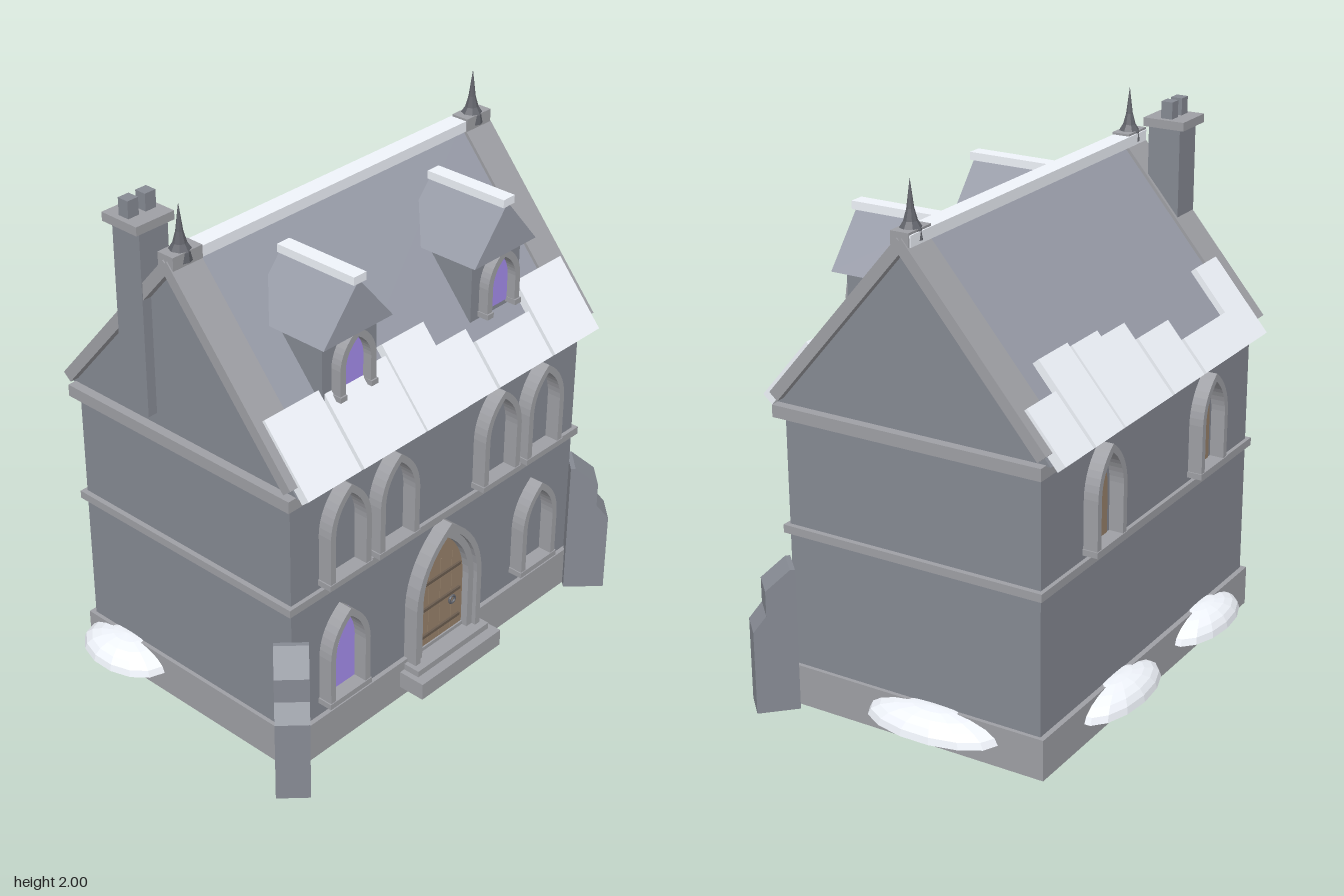
import * as THREE from 'three';

const mat = (color) => new THREE.MeshStandardMaterial({ color, flatShading: true, side: THREE.DoubleSide });

export function createModel() {
  const house = new THREE.Group();
  house.name = 'house';
  const stone = mat(0x868a93), trim = mat(0x9fa0a5), slate = mat(0x989ca8), iron = mat(0x62646b);
  const snow = mat(0xf0f4fb), glass = mat(0xa48cec), wood = mat(0x97816a), darkWood = mat(0x6b5d50);
  const CZ = -0.015; // depth of the ridge line
  const FRONT = 0.49, BACK = -0.52;

  const add = (name, geo, m = stone, parent = house) => {
    const mesh = new THREE.Mesh(geo, m);
    mesh.name = name;
    parent.add(mesh);
    return mesh;
  };
  // Box given by its min and max on each axis
  const box = (name, x0, x1, y0, y1, z0, z1, m, parent) => {
    const mesh = add(name, new THREE.BoxGeometry(x1 - x0, y1 - y0, z1 - z0), m, parent);
    mesh.position.set((x0 + x1) / 2, (y0 + y1) / 2, (z0 + z1) / 2);
    return mesh;
  };
  const extrude = (pts, depth) => new THREE.ExtrudeGeometry(
    new THREE.Shape(pts.map((p) => new THREE.Vector2(...p))), { depth, bevelEnabled: false });
  // Pointed arch outline, from bottom right over the apex to bottom left
  const archPoints = (w, y0, spring, apex) => {
    const c = new THREE.QuadraticBezierCurve(
      new THREE.Vector2(w, spring), new THREE.Vector2(w * 0.95, spring + (apex - spring) * 0.62),
      new THREE.Vector2(0, apex)).getPoints(8).map((p) => [p.x, p.y]);
    const right = [[w, y0], ...c];
    return [...right, ...right.slice(0, -1).reverse().map(([x, y]) => [-x, y])];
  };
  const archFrame = (w, t, y0, spring, apex, depth) => extrude(
    [...archPoints(w, y0, spring, apex), ...archPoints(w - t, y0, spring, apex - t * 1.25).reverse()], depth);

  // Walls, plinth and string courses
  box('walls', -0.755, 0.755, 0.1, 1.12, BACK, FRONT);
  box('plinth', -0.77, 0.77, 0, 0.155, -0.54, 0.508, trim);
  box('lowerBand', -0.775, 0.775, 0.667, 0.697, -0.535, 0.505, trim);
  box('upperBand', -0.79, 0.79, 1.1, 1.145, -0.54, 0.52, trim);

  // Gabled attic
  const gable = add('gable', extrude([[-0.54, 1.14], [0.54, 1.14], [0, 1.785]], 1.51));
  gable.rotation.y = Math.PI / 2;
  gable.position.set(-0.755, 0, CZ);

  // Roof slopes: local z runs down the slope, local y points outward
  const pitch = Math.atan(1.176), cos = Math.cos(pitch);
  const slope = (name, turn) => {
    const side = new THREE.Group();
    side.name = name;
    side.rotation.set(pitch, turn, 0, 'YXZ');
    side.position.set(0, 1.81, CZ);
    house.add(side);
    box('roofSlab', -0.66, 0.66, -0.03, 0, 0, 0.825, slate, side);
    for (const s of [-1, 1]) {
      const x = s * 0.7225;
      box('gableCoping', x - 0.0675, x + 0.0675, -0.03, 0.012, 0, 0.825, trim, side);
    }
    return side;
  };
  // Snow slabs: left edge, right edge, depth (horizontal, from the ridge) of the upper end
  const snowRow = (side, eave, list) => list.forEach(([x0, x1, top], i) =>
    box('snowSlab', x0, x1, -0.014, 0.024 + (i % 3) * 0.005, top / cos, eave / cos - 0.025, snow, side));
  snowRow(slope('frontSlope', 0), 0.588, [
    [-0.755, -0.505, 0.38], [-0.495, -0.19, 0.385], [-0.185, 0.025, 0.36],
    [0.03, 0.19, 0.42], [0.2, 0.49, 0.455], [0.5, 0.755, 0.38]]);
  snowRow(slope('backSlope', Math.PI), 0.59, [
    [-0.75, -0.57, 0.43], [-0.56, -0.375, 0.355], [-0.37, -0.2, 0.365], [-0.2, -0.025, 0.38],
    [-0.015, 0.205, 0.425], [0.215, 0.55, 0.48], [0.555, 0.72, 0.355]]);
  box('ridgeSnow', -0.78, 0.78, 1.79, 1.83, -0.055, 0.015, snow);

  // Finials
  for (const s of [-1, 1]) {
    box('finialBase', s * 0.72 - 0.065, s * 0.72 + 0.065, 1.79, 1.838, -0.05, 0.02, trim);
    const profile = [[0, 1.8], [0.044, 1.8], [0.04, 1.835], [0.024, 1.86], [0.013, 1.9], [0, 2]];
    const f = add('finial', new THREE.LatheGeometry(profile.map((p) => new THREE.Vector2(...p)), 8), iron);
    f.position.set(s * 0.72, 0, CZ);
  }

  // Chimney
  box('chimneyShaft', -0.793, -0.668, 1.19, 1.88, -0.252, -0.125);
  box('chimneyCap', -0.815, -0.65, 1.88, 1.912, -0.275, -0.112, trim);
  for (const x of [-0.77, -0.695]) box('chimneyPot', x - 0.023, x + 0.023, 1.91, 1.975, -0.217, -0.172);

  // Dormers
  for (const x of [-0.375, 0.372]) {
    const d = new THREE.Group();
    d.name = 'dormer';
    d.position.x = x;
    house.add(d);
    box('dormerBody', -0.13, 0.13, 1.325, 1.57, 0.12, 0.4, stone, d);
    add('dormerRoof', extrude([[-0.165, 1.56], [0.165, 1.56], [0, 1.755]], 0.34), slate, d).position.z = 0.1;
    box('dormerRidgeSnow', -0.029, 0.029, 1.745, 1.775, 0.105, 0.445, snow, d);
    add('dormerFrame', archFrame(0.087, 0.026, 1.345, 1.45, 1.58, 0.045), trim, d).position.z = 0.395;
    for (const s of [-1, 1])
      box('frameFoot', s * 0.075 - 0.016, s * 0.075 + 0.016, 1.335, 1.355, 0.395, 0.446, trim, d);
    add('dormerGlass', extrude(archPoints(0.063, 1.345, 1.45, 1.55), 0.01), glass, d).position.z = 0.395;
  }

  // Arched wall windows, built around x = 0 with the sill at y = 0
  const windowAt = (x, y, z, turn, pane) => {
    const w = new THREE.Group();
    w.name = 'window';
    w.position.set(x, y, z);
    w.rotation.y = turn;
    house.add(w);
    add('windowFrame', archFrame(0.1, 0.025, 0.01, 0.205, 0.378, 0.055), trim, w);
    box('windowSill', -0.105, 0.105, 0, 0.022, 0, 0.058, trim, w);
    if (pane) add('windowPane', extrude(pane[0], 0.003), pane[1], w);
  };
  for (const x of [-0.52, -0.275, 0.275, 0.52]) windowAt(x, 0.715, FRONT, 0);
  windowAt(-0.52, 0.21, FRONT, 0, [[[-0.075, 0.02], [0.075, 0.02], [0.075, 0.25], [0.045, 0.34]], glass]);
  windowAt(0.52, 0.21, FRONT, 0, [[[-0.075, 0.02], [-0.045, 0.02], [-0.075, 0.05]], glass]);
  for (const x of [-0.38, 0.38])
    windowAt(x, 0.715, BACK, Math.PI, [archPoints(0.056, 0.02, 0.2, 0.315), wood]);

  // Door with stepped surround, straps and ring
  add('doorHood', archFrame(0.178, 0.025, 0.13, 0.38, 0.672, 0.057), trim).position.z = FRONT;
  add('doorFrame', archFrame(0.154, 0.03, 0.13, 0.38, 0.642, 0.04), trim).position.z = FRONT;
  add('door', extrude(archPoints(0.125, 0.155, 0.38, 0.602), 0.012), wood).position.z = FRONT;
  for (const y of [0.2, 0.32, 0.43]) box('doorStrap', -0.105, 0.105, y - 0.006, y + 0.006, 0.5, 0.51, darkWood);
  for (const x of [-0.062, 0, 0.062]) box('boardSeam', x - 0.002, x + 0.002, 0.16, 0.5, 0.5, 0.504, wood);
  add('doorRing', new THREE.TorusGeometry(0.015, 0.005, 6, 12), iron).position.set(0.06, 0.29, 0.51);
  box('lowerStep', -0.218, 0.218, 0.048, 0.115, 0.45, 0.615, trim);
  box('upperStep', -0.196, 0.196, 0.11, 0.14, 0.45, 0.575, trim);

  // Diagonal corner buttresses
  const stepProfile = [[0, 0], [0.155, 0], [0.155, 0.32], [0.107, 0.38], [0.107, 0.475], [0.018, 0.548], [0, 0.548]];
  for (const s of [-1, 1]) {
    const geo = extrude(stepProfile, 0.12);
    geo.translate(0, 0, -0.06);
    const b = add('buttress', geo);
    b.rotation.y = s > 0 ? -Math.PI / 4 : -Math.PI * 3 / 4;
    b.position.set(s * 0.756, 0, 0.488);
  }

  // Snow drifts against the plinth: x, z, radii
  const dome = [[0, 0], [1, 0], [0.95, 0.31], [0.81, 0.59], [0.59, 0.81], [0.31, 0.95], [0, 1]];
  for (const [x, z, rx, rz] of [
    [0.77, -0.1, 0.122, 0.262], [-0.77, -0.335, 0.13, 0.195],
    [-0.4, -0.54, 0.23, 0.105], [0.25, -0.54, 0.25, 0.105]]) {
    const drift = add('snowDrift', new THREE.LatheGeometry(dome.map((p) => new THREE.Vector2(...p)), 14), snow);
    drift.scale.set(rx, 0.08, rz);
    drift.position.set(x, 0.082, z);
  }
  return house;
}
